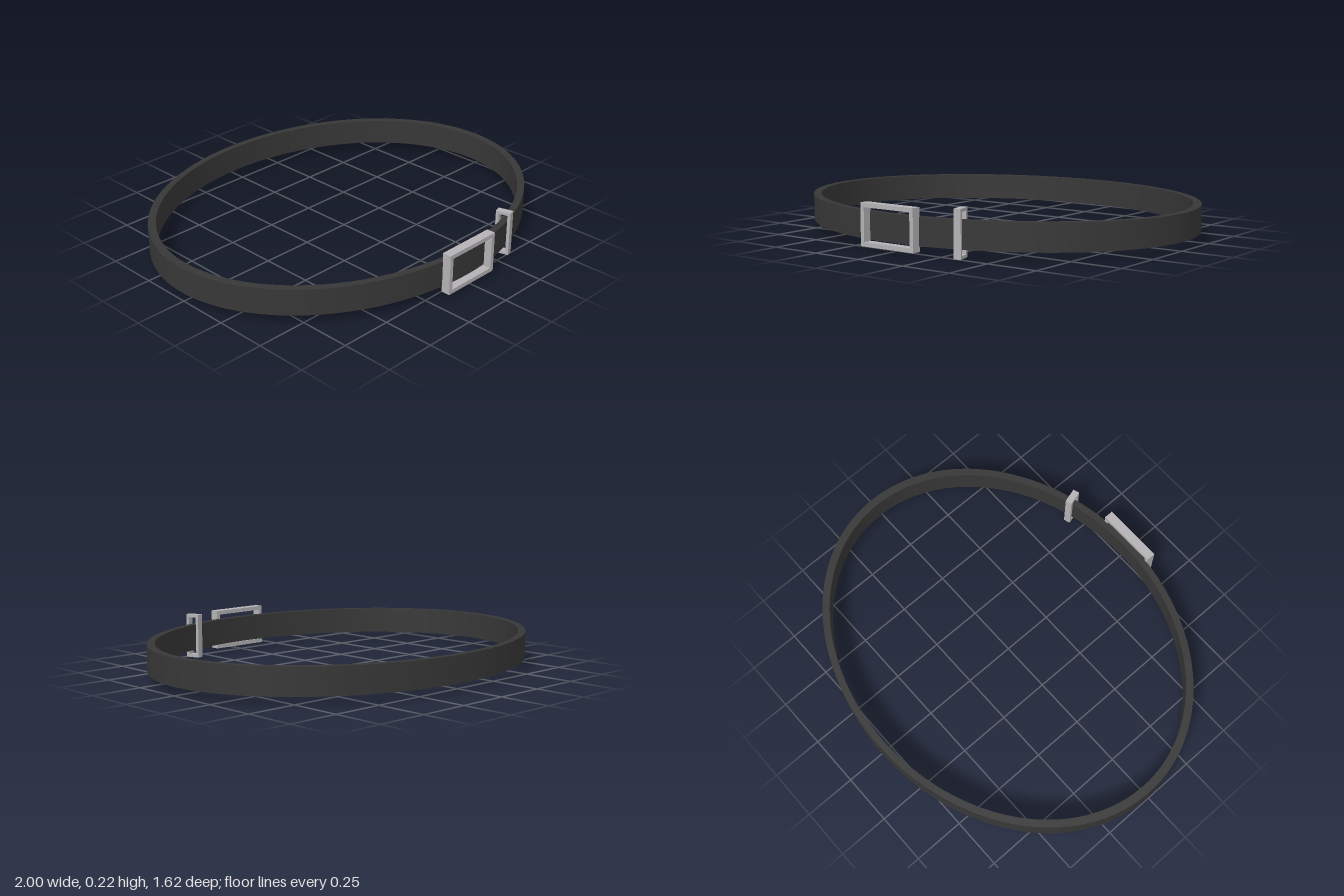
import * as THREE from 'three';
import { toCreasedNormals } from 'three/addons/utils/BufferGeometryUtils.js';

const leather = new THREE.MeshStandardMaterial({ name: 'black leather', color: 0x373737 });
const metal = new THREE.MeshStandardMaterial({ name: 'grey metal', color: 0xb4b2b4 });

// Rectangular ring with its opening along z, centred on the origin
function rectFrame(width, height, depth, bar) {
  const rect = (Path, w, h) => new Path([
    new THREE.Vector2(-w / 2, -h / 2), new THREE.Vector2(w / 2, -h / 2),
    new THREE.Vector2(w / 2, h / 2), new THREE.Vector2(-w / 2, h / 2),
  ]);
  const shape = rect(THREE.Shape, width, height);
  shape.holes.push(rect(THREE.Path, width - 2 * bar, height - 2 * bar));
  const geometry = new THREE.ExtrudeGeometry(shape, { depth, bevelEnabled: false });
  return geometry.translate(0, 0, -depth / 2);
}

export function createModel() {
  const group = new THREE.Group();
  group.name = 'belt';
  const add = (name, geometry, material) => {
    const mesh = new THREE.Mesh(geometry, material);
    mesh.name = name;
    group.add(mesh);
    return mesh;
  };

  // Oval strap: a rectangular section turned round and squashed in z
  const section = [[1, 0.04], [1, 0.168], [0.96, 0.168], [0.96, 0.04], [1, 0.04]]
    .map(([r, y]) => new THREE.Vector2(r, y));
  const strap = new THREE.LatheGeometry(section, 128).scale(1, 1, 0.794);
  add('strap', toCreasedNormals(strap, Math.PI / 6), leather).position.z = -0.016;

  // Buckle frame on the front
  add('buckle', rectFrame(0.305, 0.196, 0.044, 0.02), metal).position.set(-0.008, 0.112, 0.788);

  // Keeper loop around the strap, turned to follow its curve
  const keeperGeometry = rectFrame(0.073, 0.218, 0.033, 0.015).rotateY(Math.PI / 2);
  const keeper = add('keeperLoop', keeperGeometry, metal);
  keeper.position.set(0.331, 0.109, 0.717);
  keeper.rotation.y = THREE.MathUtils.degToRad(16);

  return group;
}
